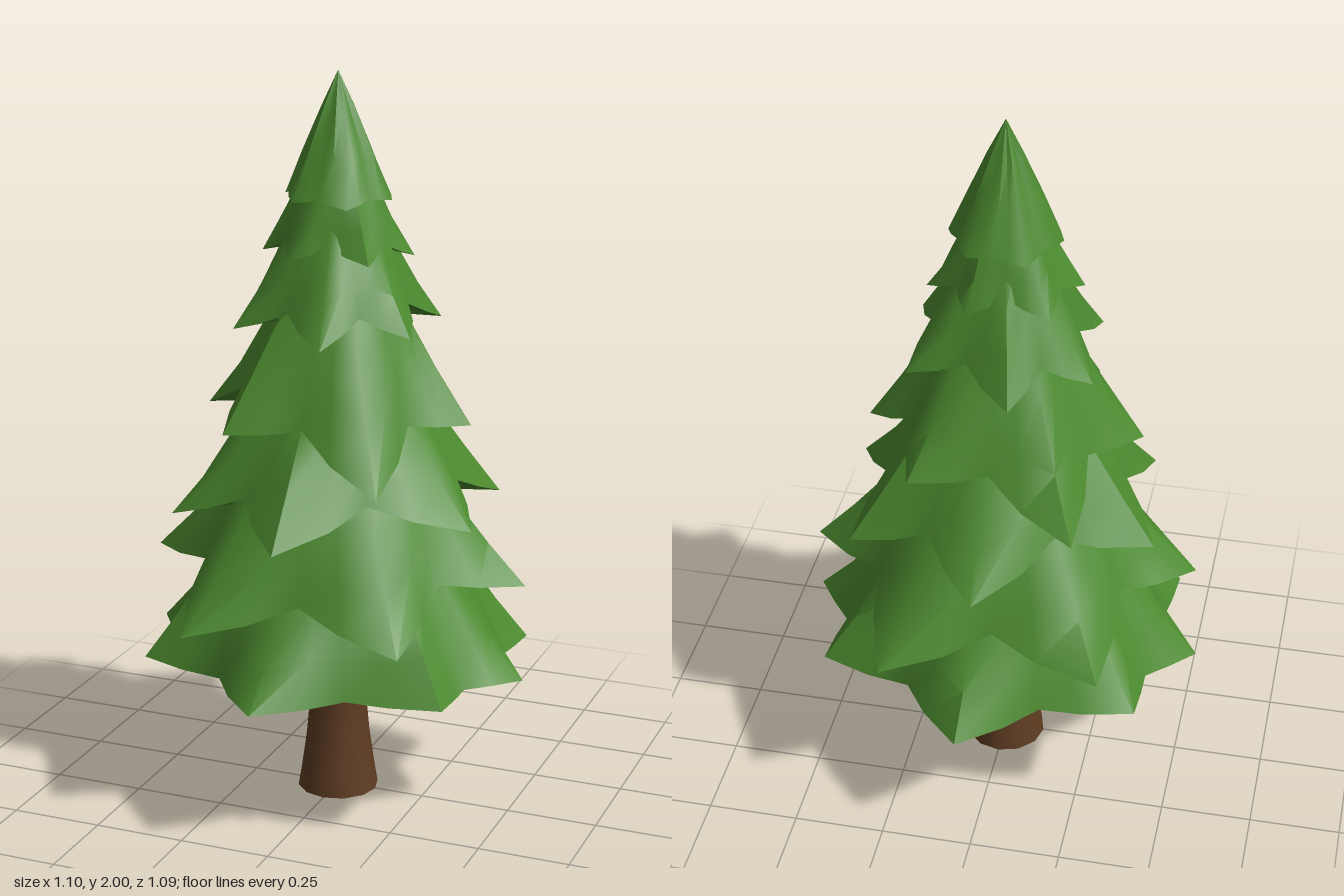
import * as THREE from 'three';
import { toCreasedNormals } from 'three/addons/utils/BufferGeometryUtils.js';

// Each tier: branch tips [x, z, y] for half a turn (the other half is the same turned 180 degrees),
// the ring [radius, y] where its roof ends, the radius where its underside meets the tier below,
// how far the notches rise above the tips, and how deep they cut per radian of gap.
const TIERS = [
  { top: [0.29, 0.74], inner: 0, lift: 0, cut: 0.27, tips: [[0.55, 0.05, 0.41], [0.42, 0.33, 0.41], [-0.03, 0.545, 0.41], [-0.46, 0.27, 0.41]] },
  { top: [0.24, 0.97], inner: 0.31, lift: 0.08, cut: 0.3, tips: [[0.53, -0.02, 0.65], [0.33, 0.42, 0.57], [-0.25, 0.48, 0.57]] },
  { top: [0.17, 1.21], inner: 0.25, lift: 0.08, cut: 0.3, tips: [[0.43, 0.14, 0.84], [0, 0.46, 0.82], [-0.375, 0.26, 0.83]] },
  { top: [0.13, 1.45], inner: 0.19, lift: 0.08, cut: 0.31, tips: [[0.37, -0.02, 1.08], [0.24, 0.34, 0.96], [-0.2, 0.31, 1.08]] },
  { top: [0.1, 1.64], inner: 0.13, lift: 0.06, cut: 0.3, tips: [[0.23, -0.17, 1.33], [0.255, 0.14, 1.34], [0.06, 0.28, 1.32]] },
  { top: [0.08, 1.74], inner: 0.1, lift: 0.04, cut: 0.25, tips: [[0.2, -0.04, 1.52], [0.14, 0.14, 1.52], [-0.07, 0.16, 1.52]] },
  { top: [0, 2], inner: 0.08, lift: 0.015, cut: 0.12, tips: [[0.15, 0, 1.67], [0.075, 0.13, 1.66], [-0.075, 0.13, 1.67]] },
];

const lerp = THREE.MathUtils.lerp;

// Star-shaped rim as polar points { a, r, y, k }, where k is 1 at a tip and 0 at a notch
function starRim({ tips, lift, cut }) {
  const all = [...tips, ...tips.map(([x, z, y]) => [-x, -z, y])]
    .map(([x, z, y]) => ({ a: Math.atan2(z, x), r: Math.hypot(x, z), y, k: 1 }))
    .sort((p, q) => p.a - q.a);
  const rim = [];
  all.forEach((p, i) => {
    const next = all[(i + 1) % all.length];
    const gap = next.a - p.a + (i === all.length - 1 ? Math.PI * 2 : 0);
    const depth = Math.min(0.33, cut * gap);
    const notch = { a: p.a + gap / 2, r: (p.r + next.r) / 2 * (1 - depth), y: (p.y + next.y) / 2 + lift, k: 0 };
    const between = (q, da) => ({
      a: p.a + da * gap, r: lerp(q.r, notch.r, 0.57), y: lerp(q.y, notch.y, 0.5), k: 0.5,
    });
    rim.push(p, between(p, 0.25), notch, between(next, 0.75));
  });
  return rim;
}

// Rows run underside, rim, two roof rows, top ring
function tierGeometry(tier, index) {
  const rim = starRim(tier);
  const [topR, topY] = tier.top;
  const roof = (t) => rim.map((p, i) => ({
    a: p.a,
    r: lerp(p.r, topR, t) * (1 + (0.5 - p.k) * 0.07 * (1 - t)),
    y: lerp(p.y, topY, t) + 0.012 * Math.sin(i * 2.3 + index),
  }));
  const under = rim.map((p) => ({ a: p.a, r: tier.inner, y: p.y + (tier.inner ? 0.02 : 0) }));
  const rows = [under, rim, roof(0.33), roof(0.68), rim.map((p) => ({ a: p.a, r: topR, y: topY }))];

  const n = rim.length;
  const positions = rows.flat().flatMap(({ a, r, y }) => [Math.cos(a) * r, y, Math.sin(a) * r]);
  const faces = [];
  for (let j = 0; j < rows.length - 1; j++) {
    const fromPoint = j === 0 && tier.inner === 0;
    const toPoint = j === rows.length - 2 && topR === 0;
    for (let i = 0; i < n; i++) {
      const a = j * n + i, a1 = j * n + (i + 1) % n;
      const b = a + n, b1 = a1 + n;
      if (!fromPoint) faces.push(a, b, a1);
      if (!toPoint) faces.push(a1, b, b1);
    }
  }
  const geometry = new THREE.BufferGeometry();
  geometry.setAttribute('position', new THREE.Float32BufferAttribute(positions, 3));
  geometry.setIndex(faces);
  return toCreasedNormals(geometry, 0.85);
}

export function createModel() {
  const tree = new THREE.Group();
  tree.name = 'pineTree';
  const needles = new THREE.MeshStandardMaterial({ color: 0x4c8a2f });
  needles.name = 'needleGreen';
  const bark = new THREE.MeshStandardMaterial({ color: 0x5e3c22 });
  bark.name = 'barkBrown';

  // Foliage, stacked from the widest tier to the pointed crown
  const foliage = new THREE.Group();
  foliage.name = 'foliage';
  TIERS.forEach((tier, i) => {
    const mesh = new THREE.Mesh(tierGeometry(tier, i), needles);
    mesh.name = i === TIERS.length - 1 ? 'crown' : `branchTier${i + 1}`;
    foliage.add(mesh);
  });
  tree.add(foliage);

  // Trunk, flared at the foot and closed underneath
  const profile = [[0, 0], [0.112, 0], [0.102, 0.06], [0.088, 0.16], [0.077, 0.28], [0.082, 0.41], [0.082, 0.46]]
    .map(([r, y]) => new THREE.Vector2(r, y));
  const trunk = new THREE.Mesh(toCreasedNormals(new THREE.LatheGeometry(profile, 12), 0.7), bark);
  trunk.name = 'trunk';
  tree.add(trunk);
  return tree;
}
